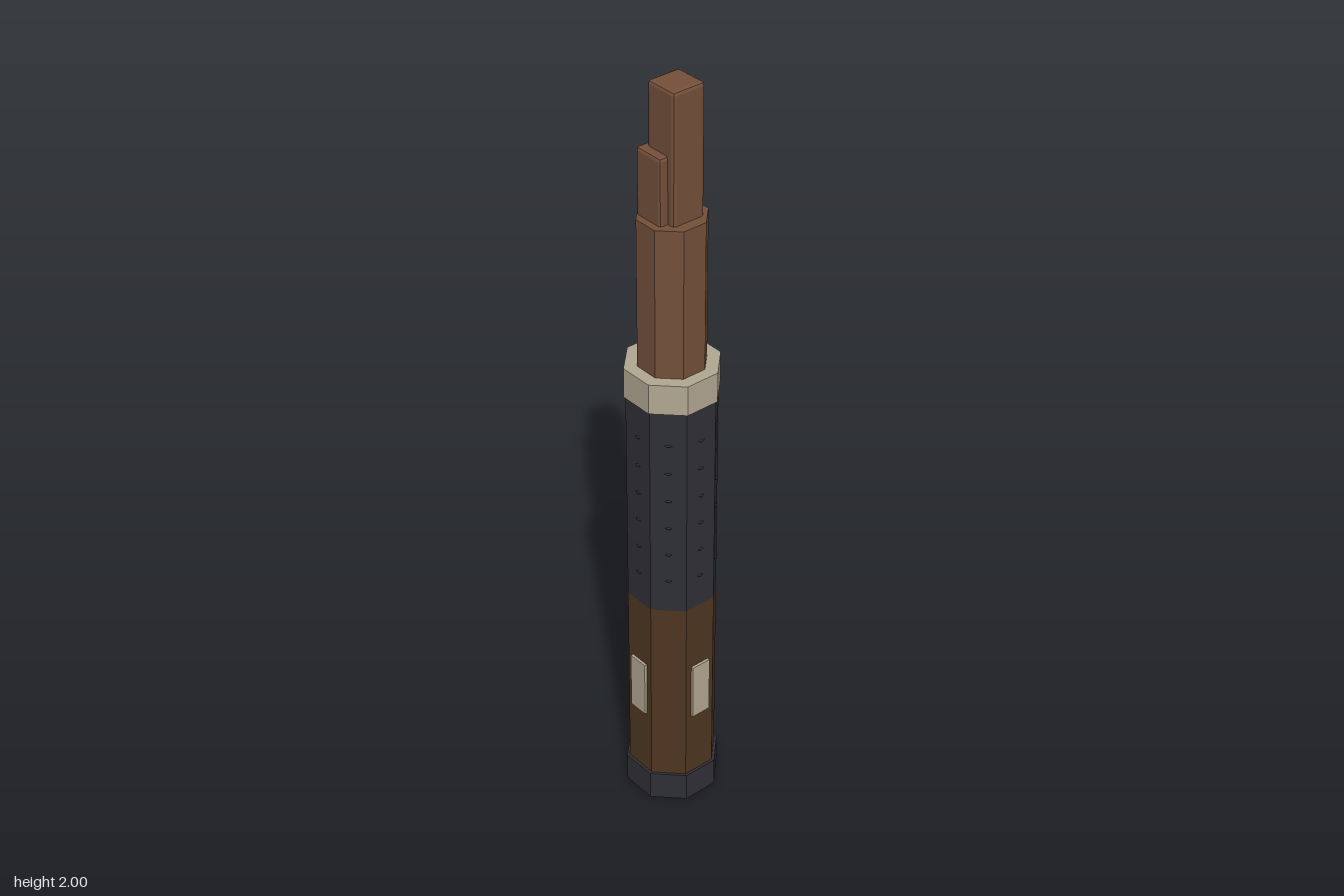
import * as THREE from 'three';
import { RoundedBoxGeometry } from 'three/addons/geometries/RoundedBoxGeometry.js';

function material(name, color) {
  const m = new THREE.MeshStandardMaterial({ color });
  m.name = name;
  return m;
}

// Faceted copy: every face gets its own normal
function faceted(geometry) {
  const g = geometry.index ? geometry.toNonIndexed() : geometry;
  g.computeVertexNormals();
  return g;
}

export function createModel() {
  const group = new THREE.Group();
  const bark = material('reddish wood', 0x74503a);
  const shell = material('dark wood', 0x4f3621);
  const wrap = material('charcoal wrap', 0x2f2f37);
  const bone = material('pale bone', 0xb2a892);

  function add(name, geometry, mat) {
    const mesh = new THREE.Mesh(geometry, mat);
    mesh.name = name;
    group.add(mesh);
    return mesh;
  }

  // Octagonal section, flats facing the axes; apothem is half the width over flats
  function octagon(name, apothem, y0, y1, mat) {
    const r = apothem / Math.cos(Math.PI / 8);
    const g = new THREE.CylinderGeometry(r, r, y1 - y0, 8);
    g.rotateY(Math.PI / 8);
    g.translate(0, (y0 + y1) / 2, 0);
    return add(name, faceted(g), mat);
  }

  // Handle, from pommel to core
  octagon('pommel', 0.113, 0, 0.08, wrap);
  octagon('lowerHandle', 0.106, 0.08, 0.617, shell);
  octagon('grip', 0.106, 0.617, 1.2, wrap);
  octagon('collar', 0.11, 1.2, 1.28, bone);
  octagon('core', 0.079, 1.28, 1.67, bark);

  // Thin grip rings that just break through the middle of each flat
  for (let i = 0; i < 6; i++) {
    const ring = faceted(new THREE.TorusGeometry(0.106, 0.004, 4, 8));
    ring.rotateX(Math.PI / 2);
    add('gripRing' + (i + 1), ring, wrap).position.y = 0.708 + i * 0.08;
  }

  // Inlay plates on four sides of the handle
  for (let i = 0; i < 4; i++) {
    const plate = new THREE.BoxGeometry(0.054, 0.16, 0.009);
    plate.translate(0, 0.35, 0.1085);
    plate.rotateY((i * Math.PI) / 2);
    add('inlay' + (i + 1), plate, bone);
  }

  // Chamfered splinters of uneven height: x0, x1, z0, z1, top
  const splinters = [
    [-0.039, 0.052, -0.04, 0.051, 2.0],
    [-0.061, -0.001, -0.054, 0.031, 1.84],
    [0.006, 0.06, -0.061, 0.006, 1.89],
  ];
  splinters.forEach(([x0, x1, z0, z1, top], i) => {
    const base = 1.62;
    const g = faceted(new RoundedBoxGeometry(x1 - x0, top - base, z1 - z0, 1, 0.009));
    add('splinter' + (i + 1), g, bark).position.set((x0 + x1) / 2, (base + top) / 2, (z0 + z1) / 2);
  });

  return group;
}
